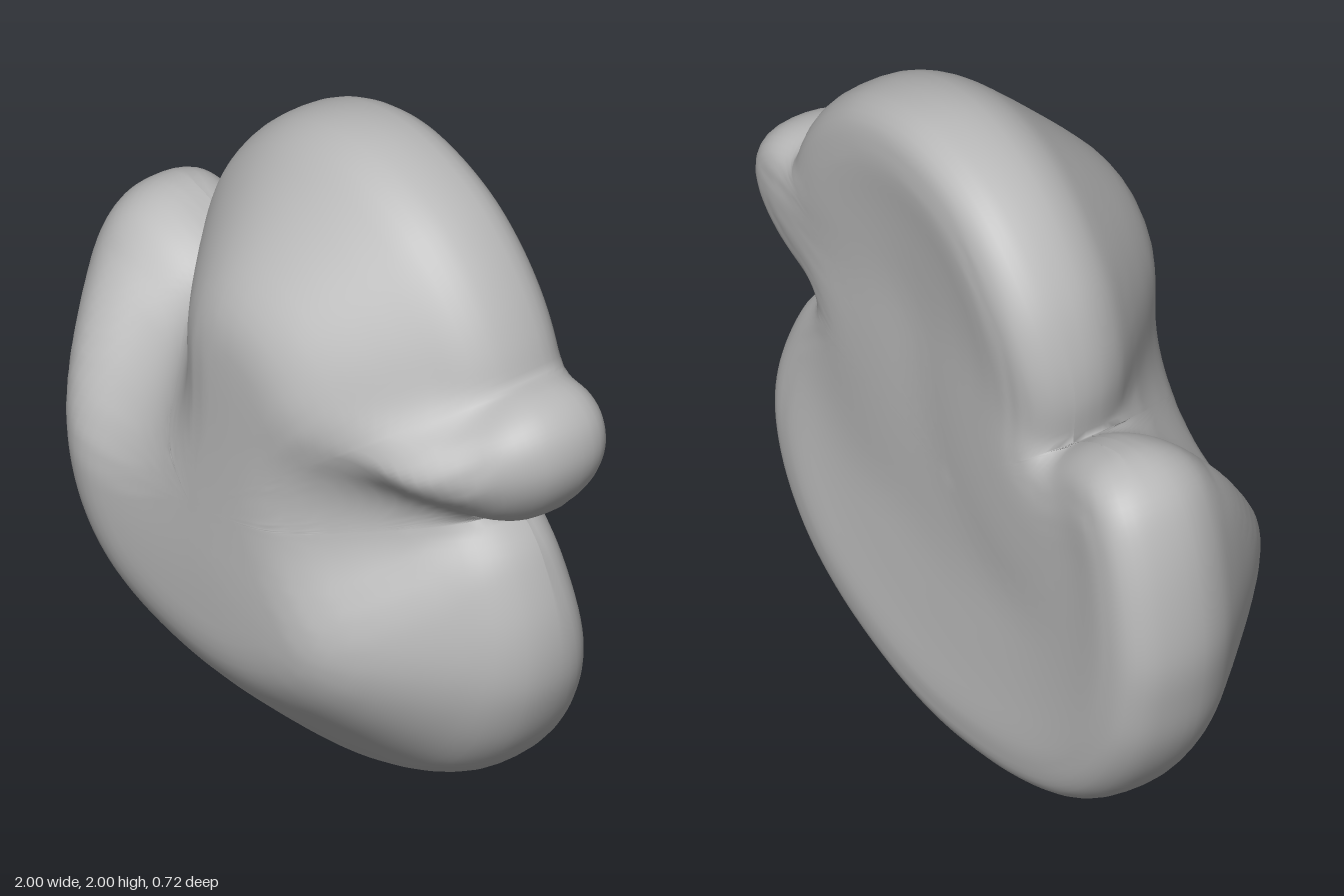
import * as THREE from 'three';

// Outline lobes, counter-clockwise, meeting at three sharp notches
const BEAK = [[0.72, 1.05], [0.85, 1.1], [0.93, 1.17], [0.985, 1.26], [1, 1.34], [0.98, 1.42],
  [0.93, 1.475], [0.87, 1.5], [0.79, 1.505]];
const HEAD = [[0.79, 1.505], [0.75, 1.6], [0.69, 1.7], [0.6, 1.805], [0.48, 1.9], [0.32, 1.97],
  [0.16, 1.998], [0, 1.98], [-0.15, 1.92], [-0.28, 1.82], [-0.39, 1.68], [-0.45, 1.53], [-0.47, 1.4], [-0.46, 1.26]];
const BODY = [[-0.46, 1.26], [-0.55, 1.32], [-0.63, 1.355], [-0.72, 1.375], [-0.8, 1.36], [-0.87, 1.31],
  [-0.92, 1.23], [-0.97, 1.08], [-1, 0.85], [-0.98, 0.68], [-0.94, 0.53], [-0.86, 0.38], [-0.74, 0.24],
  [-0.6, 0.14], [-0.4, 0.06], [-0.2, 0.018], [0, 0], [0.2, 0.015], [0.4, 0.065], [0.56, 0.13], [0.7, 0.22],
  [0.82, 0.36], [0.89, 0.52], [0.905, 0.63], [0.89, 0.76], [0.84, 0.9], [0.8, 0.97], [0.72, 1.05]];

// Depth (z) against distance in from the outline: sloping front, hollow back
const FRONT = [[0, -0.16], [0.004, -0.115], [0.02, -0.065], [0.05, -0.005], [0.12, 0.07], [0.22, 0.172],
  [0.33, 0.283], [0.42, 0.343], [0.5, 0.351], [0.7, 0.36]];
const BACK = [[0, -0.2], [0.004, -0.25], [0.02, -0.298], [0.05, -0.338], [0.09, -0.36], [0.15, -0.366],
  [0.3, -0.346], [0.6, -0.32]];

function profile(table, d) {
  for (let i = 1; i < table.length; i++) {
    const [d0, z0] = table[i - 1], [d1, z1] = table[i];
    if (d <= d1) return z0 + (z1 - z0) * (d - d0) / (d1 - d0);
  }
  return table[table.length - 1][1];
}

function lobe(points, steps) {
  const curve = new THREE.CatmullRomCurve3(points.map(([x, y]) => new THREE.Vector3(x, y, 0)));
  return curve.getSpacedPoints(steps).slice(0, -1);
}

// Shortest distance from a point to the closed outline
function edgeDistance(x, y, outline) {
  let best = Infinity;
  for (let i = 0; i < outline.length; i++) {
    const a = outline[i], b = outline[(i + 1) % outline.length];
    const ex = b.x - a.x, ey = b.y - a.y;
    let t = ((x - a.x) * ex + (y - a.y) * ey) / (ex * ex + ey * ey);
    t = Math.min(1, Math.max(0, t));
    const dx = x - a.x - ex * t, dy = y - a.y - ey * t;
    best = Math.min(best, dx * dx + dy * dy);
  }
  return Math.sqrt(best);
}

// Depth averaged over a small disc, which rounds off ridges and valleys
function softDepth(x, y, outline, table) {
  const d = edgeDistance(x, y, outline);
  const r = Math.min(0.7 * d, 0.09);
  let sum = 2 * profile(table, d);
  for (let k = 0; k < 8; k++) {
    const a = k * Math.PI / 4;
    sum += profile(table, edgeDistance(x + r * Math.cos(a), y + r * Math.sin(a), outline));
  }
  return sum / 10;
}

// Fuller beak on the front; shallower back around the two neck notches
const mound = (x, y, cx, cy, rx, ry) => Math.exp(-(((x - cx) / rx) ** 2) - ((y - cy) / ry) ** 2);
const frontBump = (x, y) => 0.065 * mound(x, y, 0.73, 1.29, 0.15, 0.12);
const backBump = (x, y) => 0.04 * (mound(x, y, -0.46, 1.26, 0.28, 0.28) + mound(x, y, 0.75, 0.98, 0.28, 0.35));

// Rings shrinking from the outline to the centre
function cushionHalf(outline, table, rings, bump) {
  const cx = -0.02, cy = 0.9;
  const rows = [];
  for (let j = 0; j <= rings; j++) {
    const s = 1 - Math.pow(j / rings, 1.6);
    rows.push(outline.map((p) => {
      const x = cx + (p.x - cx) * s, y = cy + (p.y - cy) * s;
      if (j === 0) return [x, y, table[0][1]];
      return [x, y, softDepth(x, y, outline, table) + bump(x, y)];
    }));
  }
  return rows;
}

export function createModel() {
  const group = new THREE.Group();
  group.name = 'duckCushion';
  const grey = new THREE.MeshStandardMaterial({ color: 0xb8b8b8 });
  grey.name = 'plain grey';

  const outline = [...lobe(BEAK, 40), ...lobe(HEAD, 80), ...lobe(BODY, 140)];
  const n = outline.length;
  const rows = [
    ...cushionHalf(outline, BACK, 30, backBump).reverse(),
    ...cushionHalf(outline, FRONT, 30, frontBump),
  ];

  // Skin the rows from the back centre, round the rim, to the front centre
  const index = [];
  for (let k = 0; k < rows.length - 1; k++) {
    for (let i = 0; i < n; i++) {
      const a = k * n + i, b = k * n + (i + 1) % n;
      if (k > 0) index.push(a, b, a + n);
      if (k < rows.length - 2) index.push(b, b + n, a + n);
    }
  }
  const geometry = new THREE.BufferGeometry();
  geometry.setAttribute('position', new THREE.Float32BufferAttribute(rows.flat(2), 3));
  geometry.setIndex(index);
  geometry.computeVertexNormals();

  // The centre vertices share one direction per side
  const normal = geometry.attributes.normal;
  for (let i = 0; i < n; i++) {
    normal.setXYZ(i, 0, 0, -1);
    normal.setXYZ((rows.length - 1) * n + i, 0, 0, 1);
  }

  const duck = new THREE.Mesh(geometry, grey);
  duck.name = 'duckBodyHeadAndBeak';
  group.add(duck);
  return group;
}
